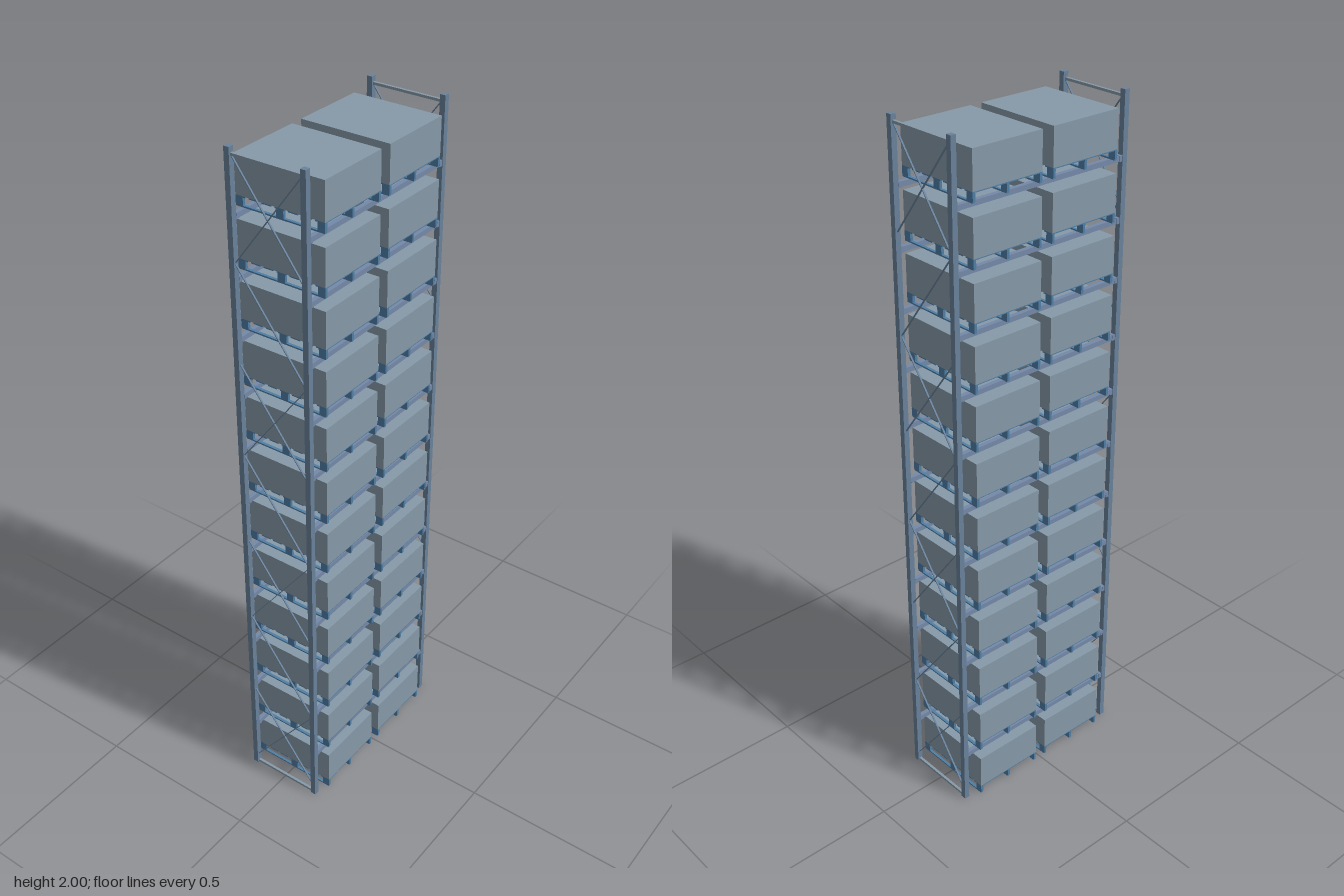
import * as THREE from 'three';

const paint = (color) => new THREE.MeshStandardMaterial({ color, flatShading: true });
const cartonPaint = paint(0x8699a8);
const postPaint = paint(0x69829b);
const beamPaint = paint(0x7489a8);
const tiePaint = paint(0x8699a8);
const palletPaint = paint(0x4f7fa5);

function box(parent, name, material, w, h, d, x, y, z) {
  const mesh = new THREE.Mesh(new THREE.BoxGeometry(w, h, d), material);
  mesh.name = name;
  mesh.position.set(x, y, z);
  parent.add(mesh);
  return mesh;
}

// Flat bar in the plane of an upright frame, between (y0, z0) and (y1, z1)
function diagonal(parent, x, y0, z0, y1, z1) {
  const length = Math.hypot(y1 - y0, z1 - z0);
  const bar = box(parent, 'diagonalBrace', postPaint, 0.005, 0.002, length, x, (y0 + y1) / 2, (z0 + z1) / 2);
  bar.rotation.x = -Math.atan2(y1 - y0, z1 - z0);
}

// Two posts joined by end ties and alternating crossed and single diagonals
function uprightFrame(x) {
  const frame = new THREE.Group();
  frame.name = 'uprightFrame';
  for (const z of [-0.11, 0.11]) box(frame, 'post', postPaint, 0.016, 2, 0.016, x, 1, z);
  for (const y of [0.005, 1.982]) box(frame, 'tie', tiePaint, 0.008, 0.007, 0.21, x, y, 0);
  const start = 0.03, step = 0.279, reach = 0.105;
  for (let i = 0; i < 7; i++) {
    const y = start + i * step;
    diagonal(frame, x, y, reach, y + step, -reach);
    if (i % 2 === 0) diagonal(frame, x, y, -reach, y + step, reach);
  }
  return frame;
}

// Pallet with runners, blocks and deck boards, carrying one carton
function loadedPallet(x, y) {
  const load = new THREE.Group();
  load.name = 'loadedPallet';
  for (const dx of [-0.106, 0, 0.106]) {
    box(load, 'runner', palletPaint, 0.008, 0.004, 0.262, dx, 0.002, 0);
    for (const dz of [-0.121, 0, 0.121]) {
      box(load, 'block', palletPaint, 0.008, 0.021, 0.022, dx, 0.0145, dz);
    }
  }
  for (let i = 0; i < 7; i++) {
    box(load, 'deckBoard', palletPaint, 0.22, 0.003, 0.029, 0, 0.0265, (i - 3) * 0.039);
  }
  box(load, 'carton', cartonPaint, 0.22, 0.104, 0.264, 0, 0.08, 0);
  load.position.set(x, y, 0);
  return load;
}

export function createModel() {
  const rack = new THREE.Group();
  rack.name = 'palletRack';

  for (const x of [-0.281, 0.281]) rack.add(uprightFrame(x));

  for (let level = 0; level < 12; level++) {
    const floor = level === 0 ? 0 : 0.167 + (level - 1) * 0.1664;
    for (const x of [-0.128, 0.128]) rack.add(loadedPallet(x, floor));
    if (level === 0) continue;
    // Front and back beams with end connectors
    for (const z of [-0.109, 0.109]) {
      box(rack, 'beam', beamPaint, 0.546, 0.014, 0.013, 0, floor - 0.007, z);
      for (const x of [-0.268, 0.268]) {
        box(rack, 'beamConnector', beamPaint, 0.01, 0.016, 0.015, x, floor - 0.007, z);
      }
    }
  }
  return rack;
}
